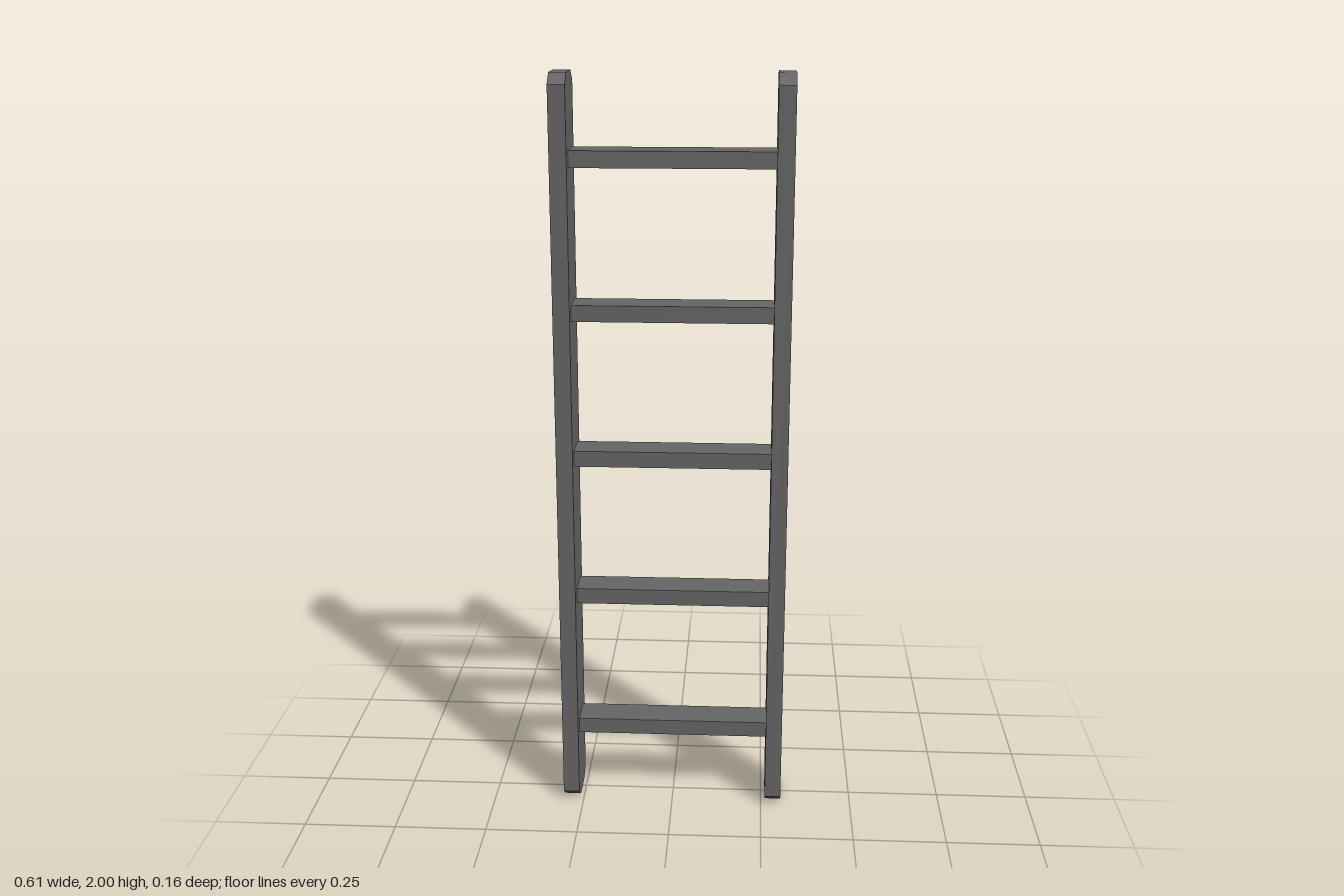
import * as THREE from 'three';
import { toCreasedNormals } from 'three/addons/utils/BufferGeometryUtils.js';

const RAIL_INNER = 0.261, RAIL_OUTER = 0.305;

export function createModel() {
  const group = new THREE.Group();
  const material = new THREE.MeshStandardMaterial({ color: 0x666666 });

  // Side rail outline (z, y): a long plank with chamfered corners
  const halfDepth = 0.081, flat = 0.045, chamfer = 0.027;
  const outline = new THREE.Shape([
    [-flat, 0], [flat, 0], [halfDepth, chamfer], [halfDepth, 2 - chamfer],
    [flat, 2], [-flat, 2], [-halfDepth, 2 - chamfer], [-halfDepth, chamfer],
  ].map(([z, y]) => new THREE.Vector2(z, y)));
  const thickness = RAIL_OUTER - RAIL_INNER;
  const plank = new THREE.ExtrudeGeometry(outline, { depth: thickness, bevelEnabled: false });
  plank.translate(0, 0, -thickness / 2).rotateY(Math.PI / 2);
  // Soft shading over the rail ends, sharp edges along the sides
  const railGeometry = toCreasedNormals(plank, Math.PI / 4);

  for (const side of [-1, 1]) {
    const rail = new THREE.Mesh(railGeometry, material);
    rail.name = side > 0 ? 'leftRail' : 'rightRail';
    rail.position.x = side * (RAIL_INNER + RAIL_OUTER) / 2;
    group.add(rail);
  }

  // Five evenly spaced flat rungs between the rails
  const rungGeometry = new THREE.BoxGeometry(2 * RAIL_INNER, 0.043, 0.092);
  for (let i = 0; i < 5; i++) {
    const rung = new THREE.Mesh(rungGeometry, material);
    rung.name = `rung${i + 1}`;
    rung.position.set(0, 0.216 + i * 0.393, -0.001);
    group.add(rung);
  }
  return group;
}
